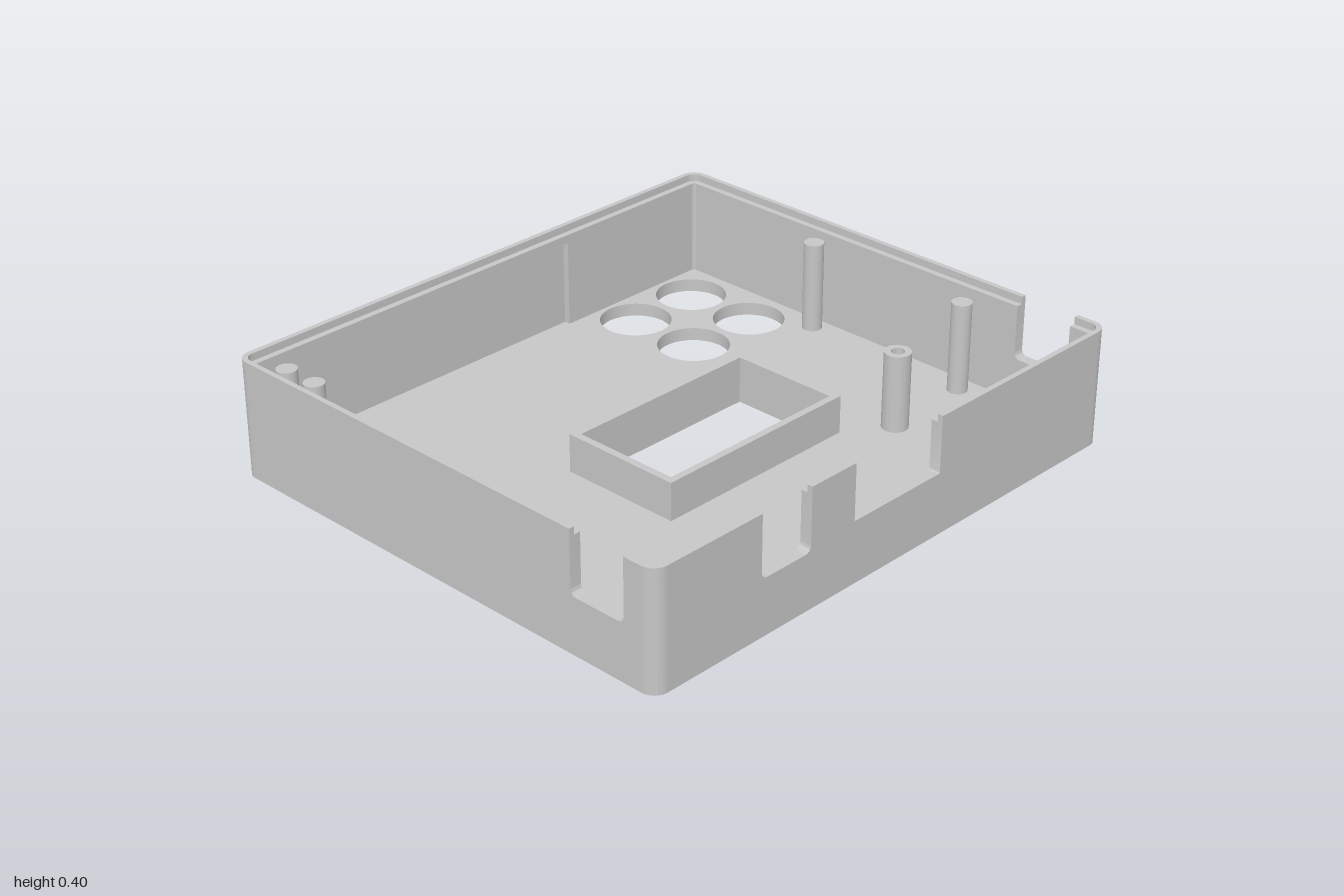
import * as THREE from 'three';
import { toCreasedNormals } from 'three/addons/utils/BufferGeometryUtils.js';

const W = 1, D = 0.885, H = 0.4;          // half width, half depth, height
const R = 0.05, WALL = 0.04, LIP = 0.018; // corner radius, wall and lip thickness
const LEDGE = 0.375, FLOOR = 0.045;

const rect = (C, x0, y0, x1, y1) => {
  const s = new C();
  s.moveTo(x0, y0); s.lineTo(x1, y0); s.lineTo(x1, y1); s.lineTo(x0, y1); s.closePath();
  return s;
};
const circle = (C, x, y, r) => {
  const s = new C();
  s.absarc(x, y, r, 0, Math.PI * 2, false);
  return s;
};
const extrude = (shape, depth) => toCreasedNormals(
  new THREE.ExtrudeGeometry(shape, { depth, bevelEnabled: false, curveSegments: 24 }), 0.5);

// Plan shape (x, z) raised from y0 to y1
const slab = (shape, y0, y1) => extrude(shape, y1 - y0).rotateX(Math.PI / 2).translate(0, y1, 0);

// Wall elevation with round-bottomed notches open at the top: [start, end, bottom, radius]
function wallShape(half, top, notches) {
  const s = new THREE.Shape();
  s.moveTo(-half, 0); s.lineTo(half, 0); s.lineTo(half, top);
  for (const [a, b, y, r] of [...notches].reverse()) {
    s.lineTo(b, top); s.lineTo(b, y + r);
    s.quadraticCurveTo(b, y, b - r, y);
    s.lineTo(a + r, y);
    s.quadraticCurveTo(a, y, a, y + r);
    s.lineTo(a, top);
  }
  s.lineTo(-half, top); s.closePath();
  return s;
}

// Quarter ring around the origin
function cornerShape(ro, ri, a) {
  const s = new THREE.Shape();
  s.absarc(0, 0, ro, a, a + Math.PI / 2, false);
  s.absarc(0, 0, ri, a + Math.PI / 2, a, true);
  s.closePath();
  return s;
}

export function createModel() {
  const group = new THREE.Group();
  const grey = new THREE.MeshStandardMaterial({ color: 0xc6c6c6 });
  grey.name = 'light grey plastic';
  const add = (name, geo) => {
    const m = new THREE.Mesh(geo, grey);
    m.name = name;
    group.add(m);
  };

  // Walls: tall outer lip plus a lower inner layer that forms the ledge
  const frontNotches = [[-0.581, -0.378, 0.19, 0.025], [-0.192, 0.19, 0.21, 0.006]];
  const sideNotches = [[0.566, 0.77, 0.19, 0.025]];
  // Shallow pocket in the inner face of the back wall
  const pocket = rect(THREE.Path, -0.885, FLOOR, 0.35, 0.345);
  const layers = [['Lip', 0, LIP, H, []], ['Inner', LIP, WALL, LEDGE, [pocket]]];
  for (const [part, a, b, top, backHoles] of layers) {
    const t = b - a;
    add('frontWall' + part, extrude(wallShape(W - R, top, frontNotches), t).translate(0, 0, D - b));
    const back = wallShape(W - R, top, []);
    back.holes.push(...backHoles);
    add('backWall' + part, extrude(back, t).translate(0, 0, -D + a));
    const side = () => extrude(wallShape(D - R, top, sideNotches), t).rotateY(-Math.PI / 2);
    add('leftWall' + part, side().translate(W - a, 0, 0));
    add('rightWall' + part, side().translate(-W + b, 0, 0));
    [[1, 1], [-1, 1], [-1, -1], [1, -1]].forEach(([sx, sz], i) =>
      add('corner' + part, slab(cornerShape(R - a, R - b, i * Math.PI / 2), 0, top)
        .translate(sx * (W - R), 0, sz * (D - R))));
  }

  // Floor in two layers: the lower one has a wider opening, a recess around the window
  const buttons = [];
  for (const x of [0.53, 0.802]) for (const z of [-0.707, -0.435]) buttons.push([x, z]);
  const boss = [0.558, 0.415];
  const floorLayer = (windowHole, y0, y1) => {
    const s = rect(THREE.Shape, -W + WALL, -D + WALL, W - WALL, D - WALL);
    s.holes.push(windowHole, circle(THREE.Path, ...boss, 0.022));
    for (const [x, z] of buttons) s.holes.push(circle(THREE.Path, x, z, 0.122));
    return slab(s, y0, y1);
  };
  const opening = () => rect(THREE.Path, -0.328, -0.086, 0.38, 0.293);
  add('floorUnderside', floorLayer(rect(THREE.Path, -0.385, -0.137, 0.435, 0.343), 0, 0.015));
  add('floor', floorLayer(opening(), 0.015, FLOOR));

  // Raised rim around the display window
  const rim = rect(THREE.Shape, -0.353, -0.112, 0.406, 0.317);
  rim.holes.push(opening());
  add('windowRim', slab(rim, FLOOR, 0.175));

  // Hollow screw boss
  const ring = circle(THREE.Shape, ...boss, 0.044);
  ring.holes.push(circle(THREE.Path, ...boss, 0.022));
  add('screwBoss', slab(ring, FLOOR, 0.31));

  // Solid support pegs
  for (const [x, z] of [[-0.892, -0.778], [-0.892, -0.648], [0.904, -0.238], [0.889, 0.401]])
    add('supportPeg', new THREE.CylinderGeometry(0.034, 0.034, 0.36 - FLOOR, 32)
      .translate(x, (0.36 + FLOOR) / 2, z));

  return group;
}
